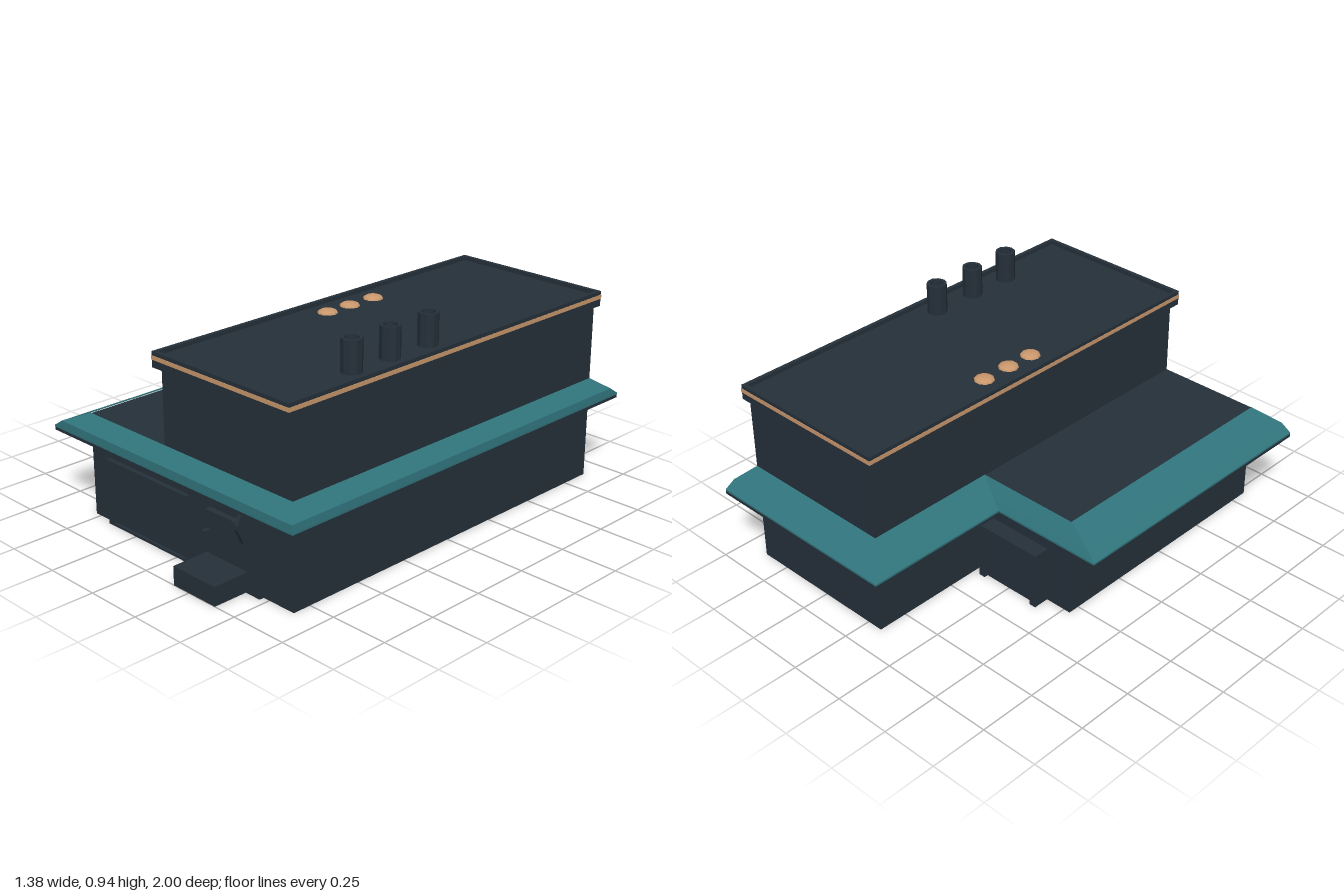
import * as THREE from 'three';

const mat = (name, color) => {
  const m = new THREE.MeshStandardMaterial({ color, flatShading: true });
  m.name = name;
  return m;
};

export function createModel() {
  const wall = mat('slate wall', 0x25303a);
  const teal = mat('teal eave', 0x30737b);
  const tan = mat('copper trim', 0xc9976c);
  const model = new THREE.Group();
  model.name = 'building';

  const add = (name, geometry, material, x = 0, y = 0, z = 0) => {
    const mesh = new THREE.Mesh(geometry, material);
    mesh.name = name;
    mesh.position.set(x, y, z);
    model.add(mesh);
    return mesh;
  };
  // Box given by its minimum and maximum on each axis
  const box = (name, x0, x1, y0, y1, z0, z1, material = wall) =>
    add(name, new THREE.BoxGeometry(x1 - x0, y1 - y0, z1 - z0), material,
      (x0 + x1) / 2, (y0 + y1) / 2, (z0 + z1) / 2);

  // L-shaped plan: left, front, right, back, back of the wing, left of the main block
  const plan = (l, f, r, b, wb, ml) => [[l, f], [r, f], [r, b], [ml, b], [ml, wb], [l, wb]];
  const rect = (l, f, r, b) => [[l, f], [r, f], [r, b], [l, b]];
  const flat = pts => pts.map(([x, z]) => new THREE.Vector2(x, -z));
  const slab = (name, pts, y0, y1, material, hole) => {
    const shape = new THREE.Shape(flat(pts));
    if (hole) shape.holes.push(new THREE.Path(flat(hole).reverse()));
    const g = new THREE.ExtrudeGeometry(shape, { depth: y1 - y0, bevelEnabled: false });
    g.rotateX(-Math.PI / 2);
    return add(name, g, material, 0, y0, 0);
  };

  // Ground floor and upper block
  slab('groundFloor', plan(-0.53, 0.83, 0.63, -0.88, -0.3, -0.07), 0, 0.438, wall);
  box('upperFloor', -0.07, 0.63, 0.43, 0.79, -0.88, 0.83);

  // Hipped eave lofted through rings from the lip to the wall line
  const rings = [
    [0.35, plan(-0.695, 0.89, 0.69, -1, -0.355, -0.2)],
    [0.358, plan(-0.695, 0.89, 0.69, -1, -0.355, -0.2)],
    [0.388, plan(-0.65, 0.888, 0.686, -0.957, -0.337, -0.153)],
    [0.44, plan(-0.53, 0.83, 0.63, -0.88, -0.3, -0.07)],
  ];
  const pos = [];
  for (let k = 0; k < rings.length - 1; k++) {
    const [y0, p] = rings[k], [y1, q] = rings[k + 1];
    for (let i = 0; i < 6; i++) {
      const j = (i + 1) % 6;
      const a = [p[i][0], y0, p[i][1]], b = [p[j][0], y0, p[j][1]];
      const c = [q[j][0], y1, q[j][1]], d = [q[i][0], y1, q[i][1]];
      pos.push(...a, ...b, ...c, ...a, ...c, ...d);
    }
  }
  const eave = new THREE.BufferGeometry();
  eave.setAttribute('position', new THREE.Float32BufferAttribute(pos, 3));
  eave.computeVertexNormals();
  add('eave', eave, teal);
  slab('soffit', rings[0][1], 0.337, 0.35, wall);

  // Parapet with trim line and recessed flat roof
  slab('parapet', rect(-0.09, 0.858, 0.645, -0.902), 0.756, 0.82, wall,
    rect(-0.073, 0.841, 0.628, -0.885));
  slab('parapetTrim', rect(-0.092, 0.86, 0.647, -0.904), 0.787, 0.804, tan,
    rect(-0.085, 0.853, 0.64, -0.897));
  box('roofDeck', -0.08, 0.635, 0.765, 0.803, -0.892, 0.848);

  // Chimneys with open tops
  const pipe = [[0.042, 0], [0.042, 0.135], [0.029, 0.135], [0.029, 0.1]]
    .map(([r, y]) => new THREE.Vector2(r, y));
  for (const z of [0.05, 0.257, 0.457]) {
    add('chimney', new THREE.LatheGeometry(pipe, 10), wall, 0.548, 0.8, z);
    const disc = new THREE.CircleGeometry(0.03, 10);
    disc.rotateX(-Math.PI / 2);
    add('chimneyCore', disc, tan, 0.548, 0.905, z);
  }

  // Low domed roof vents
  for (const z of [-0.21, -0.075, 0.05]) {
    const dome = new THREE.SphereGeometry(0.042, 10, 4, 0, Math.PI * 2, 0, Math.PI / 2);
    dome.scale(1, 0.4, 1);
    add('roofVent', dome, tan, 0.015, 0.803, z);
  }

  // Garage door and frame
  box('garageDoor', -0.39, 0.05, 0.01, 0.265, 0.825, 0.837);
  box('garageJamb', -0.42, -0.39, 0, 0.28, 0.825, 0.85);
  box('garageJamb', 0.05, 0.07, 0, 0.28, 0.825, 0.85);
  box('garageLintel', -0.42, 0.07, 0.265, 0.28, 0.825, 0.85);
  box('garageSill', -0.39, 0.05, 0, 0.01, 0.825, 0.85);

  // Entrance: pilasters, door, lintel, fittings and step
  box('pilaster', 0.08, 0.165, 0, 0.34, 0.825, 0.85);
  box('pilaster', 0.395, 0.47, 0, 0.34, 0.825, 0.85);
  box('frontDoor', 0.185, 0.39, 0.08, 0.265, 0.825, 0.838);
  box('doorLintel', 0.185, 0.375, 0.262, 0.272, 0.825, 0.856);
  box('doorHandle', 0.167, 0.185, 0.12, 0.18, 0.825, 0.862);
  box('doorStep', 0.165, 0.395, 0, 0.08, 0.825, 1);
  const bracket = new THREE.ExtrudeGeometry(new THREE.Shape([
    new THREE.Vector2(-0.83, 0.2), new THREE.Vector2(-0.83, 0.335),
    new THREE.Vector2(-0.855, 0.335), new THREE.Vector2(-0.882, 0.28),
    new THREE.Vector2(-0.882, 0.26), new THREE.Vector2(-0.855, 0.2),
  ]), { depth: 0.02, bevelEnabled: false });
  bracket.rotateY(Math.PI / 2);
  add('bracket', bracket, wall, 0.375, 0, 0);

  // Back door frame on the wing
  box('backDoor', -0.38, -0.13, 0, 0.23, -0.352, -0.295);
  box('backJamb', -0.41, -0.38, 0, 0.25, -0.37, -0.295);
  box('backJamb', -0.13, -0.1, 0, 0.25, -0.37, -0.295);
  box('backLintel', -0.41, -0.1, 0.23, 0.25, -0.37, -0.295);

  return model;
}
